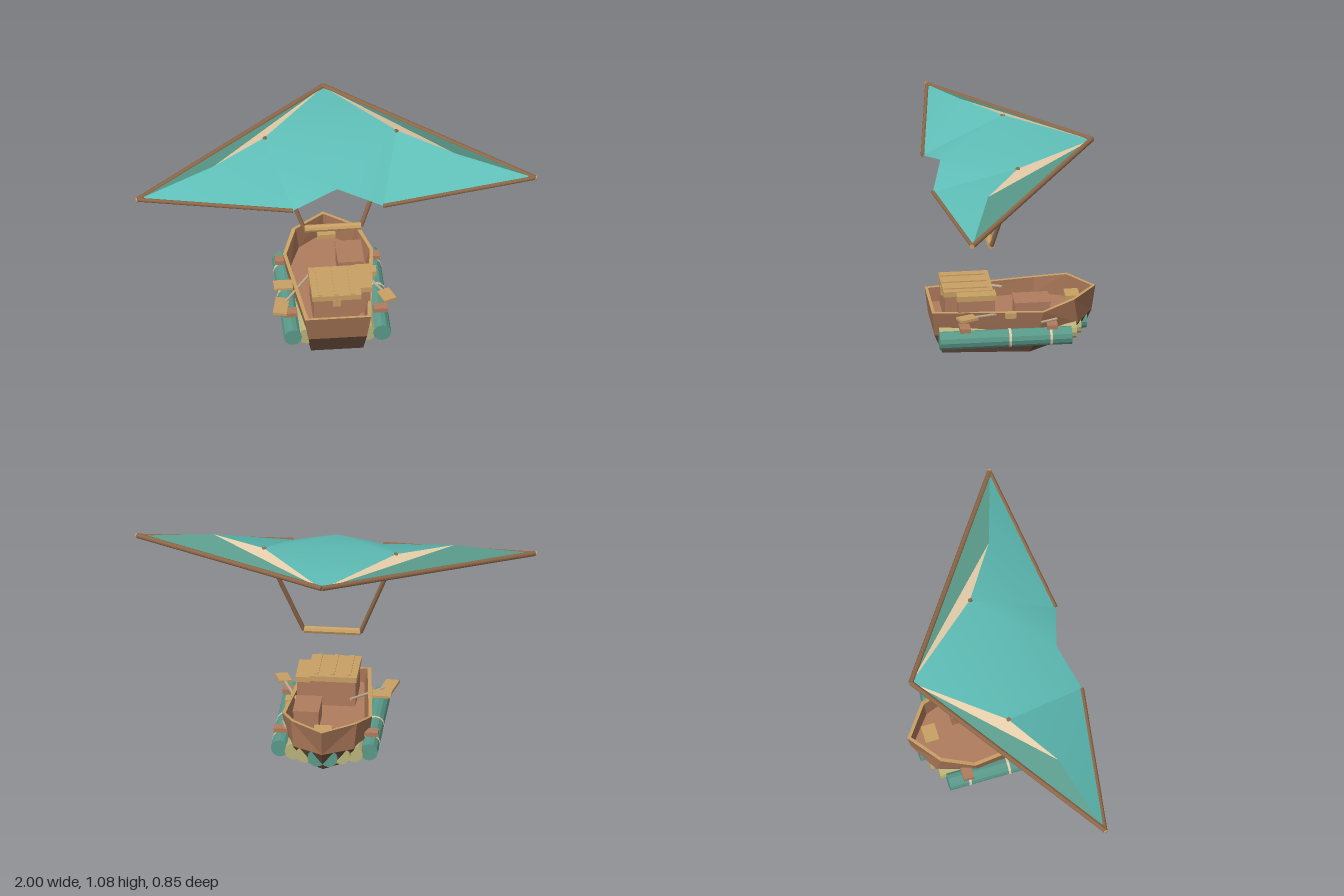
import * as THREE from 'three';
import { mergeVertices } from 'three/addons/utils/BufferGeometryUtils.js';

const mat = (name, color, flatShading = true) => {
  const m = new THREE.MeshStandardMaterial({ color, side: THREE.DoubleSide, flatShading });
  m.name = name;
  return m;
};
const V = (a) => new THREE.Vector3(...a);

export function createModel() {
  const root = new THREE.Group();
  const sail = mat('sail teal', 0x5fbfb8, false), cream = mat('cream', 0xe4cda9);
  const frame = mat('frame brown', 0x906849, false), hullMat = mat('hull brown', 0xa07053);
  const darkHull = mat('lower hull brown', 0x5e4436);
  const crateMat = mat('crate brown', 0xb07c5e), tan = mat('tan wood', 0xc89f64);
  const float = mat('float teal', 0x5a9a8a), olive = mat('olive', 0xbab47a);
  const pale = mat('pale wood', 0xbcab8c);

  const add = (name, geo, m) => {
    const mesh = new THREE.Mesh(geo, m);
    mesh.name = name;
    root.add(mesh);
    return mesh;
  };
  const box = (name, x0, x1, y0, y1, z0, z1, m) => {
    const b = add(name, new THREE.BoxGeometry(x1 - x0, y1 - y0, z1 - z0), m);
    b.position.set((x0 + x1) / 2, (y0 + y1) / 2, (z0 + z1) / 2);
    return b;
  };
  // round bar between two points
  const bar = (name, a, b, r, m, sides = 8) => {
    const p = V(a), d = V(b).sub(p);
    const mesh = add(name, new THREE.CylinderGeometry(r, r, d.length(), sides), m);
    mesh.position.copy(p).addScaledVector(d, 0.5);
    mesh.quaternion.setFromUnitVectors(new THREE.Vector3(0, 1, 0), d.normalize());
    return mesh;
  };
  // faces from triangles of points, joined so smooth materials blend across them
  const faces = (name, tris, m) => {
    let g = new THREE.BufferGeometry();
    g.setAttribute('position', new THREE.Float32BufferAttribute(tris.flat(2), 3));
    g = mergeVertices(g);
    g.computeVertexNormals();
    return add(name, g, m);
  };
  const quad = (a, b, c, d) => [[a, b, c], [a, c, d]];
  const flip = ([x, y, z]) => [-x, y, z];
  // the mirrored copy has its winding reversed
  const mirror = (tris) => tris.map(([a, b, c]) => [flip(a), flip(c), flip(b)]);
  const both = (tris) => [...tris, ...mirror(tris)];

  // ---- Glider wing ----
  const apex = [0, 1.06, -0.405], tip = [0.99, 0.957, 0.303], inner = [0.225, 0.918, 0.413];
  const notch = [0, 0.99, 0.35], ridge = [0.33, 1.07, 0], mid = [0.6, 1.045, 0.18];
  faces('sailCentre', [
    [apex, flip(ridge), ridge], [flip(ridge), notch, ridge], ...both([[ridge, notch, inner]]),
  ], sail);
  const frontPanel = [[ridge, inner, mid], [mid, inner, tip]];
  faces('sailFrontPanelLeft', frontPanel, sail);
  faces('sailFrontPanelRight', mirror(frontPanel), sail);
  faces('sailOuterPanels', both([[apex, mid, tip]]), float);
  faces('sailStripes', both([[apex, ridge, mid]]), cream);

  for (const s of [1, -1]) {
    const m = ([x, y, z]) => [x * s, y, z];
    bar('leadingEdge', [0, 1.064, -0.407], m(tip), 0.013, frame);
    bar('trailingEdge', m(tip), m(inner), 0.01, frame);
    bar('tipCap', m([0.994, 0.957, 0.305]), m([1, 0.957, 0.306]), 0.012, tan);
    bar('controlStrut', m([0.33, 1.072, 0]), m([0.142, 0.575, 0.11]), 0.011, frame);
  }
  bar('controlGrip', [-0.14, 0.575, 0.112], [0.14, 0.575, 0.112], 0.019, tan);

  // ---- Hull: rails from transom to pointed stern ----
  const top = [[0.165, 0.23, 0.41], [0.225, 0.235, -0.14], [0.165, 0.27, -0.3], [0, 0.27, -0.425]];
  const waist = [[0.145, 0.1, 0.395], [0.205, 0.11, -0.12], [0.152, 0.14, -0.32], [0, 0.14, -0.405]];
  const keel = [[0.13, 0, 0.355], [0.165, 0, -0.08], [0.12, 0.04, -0.26], [0, 0.04, -0.36]];
  // hollow underside that lets the raft tubes show
  const belly = [[0.1, 0.04, 0.3], [0.145, 0.075, -0.08], [0.11, 0.1, -0.25], [0, 0.1, -0.35]];
  const centre = belly.map(([, y, z]) => [0, y, z]);
  const inset = top.map(([x, y, z], i) => [Math.max(0, x - 0.018), y, z + [-0.015, 0, 0.006, 0.02][i]]);
  const deckEdge = inset.map(([x, , z]) => [x * 0.9, 0.16, z * 0.97]);
  const strip = (a, b) => a.slice(0, -1).flatMap((p, i) => quad(p, b[i], b[i + 1], a[i + 1]));
  const end = (a, b) => quad(a, flip(a), flip(b), b);
  faces('hull', [...both(strip(top, waist)), ...end(top[0], waist[0])], hullMat);
  faces('lowerHull', [
    ...both([...strip(waist, keel), ...strip(keel, belly), ...strip(belly, centre)]),
    ...end(waist[0], keel[0]), ...end(keel[0], belly[0]),
  ], darkHull);
  faces('hullLining', [...both(strip(deckEdge, inset)), ...end(deckEdge[0], inset[0])], hullMat);
  faces('hullRim', [...both(strip(inset, top)), ...end(inset[0], top[0])], tan);
  faces('deck', both(strip(deckEdge.map(([, y, z]) => [0, y, z]), deckEdge)), crateMat);

  // ---- Raft tubes under the hull, stepped to follow the stern ----
  for (const s of [1, -1]) {
    const tubes = [[0.222, -0.28, 0.38, float], [0.15, -0.31, 0.375, olive],
      [0.09, -0.34, 0.3, olive], [0.03, -0.375, 0.3, float]];
    for (const [x, z0, z1, m] of tubes)
      bar('raftTube', [s * x, 0.105, z0], [s * x, 0.105, z1], 0.045, m, 12);
    for (const z of [0.028, -0.176])
      bar('floatStrap', [s * 0.222, 0.105, z - 0.006], [s * 0.222, 0.105, z + 0.006], 0.0475, cream, 12);
    for (const z of [0.253, -0.182])
      box('cleat', s * 0.225 - 0.035, s * 0.225 + 0.035, 0.155, 0.178, z - 0.026, z + 0.026, crateMat);
  }

  // ---- Cargo crates ----
  box('largeCrate', -0.115, 0.115, 0.16, 0.298, 0.11, 0.34, crateMat);
  box('largeCrateLid', -0.123, 0.123, 0.295, 0.323, 0.1, 0.347, tan);
  for (const x of [-0.08, 0, 0.08])
    box('lidSlat', x - 0.01, x + 0.01, 0.318, 0.329, 0.12, 0.343, tan);
  box('crateLatch', -0.02, 0.02, 0.26, 0.3, 0.335, 0.35, tan);
  box('sideCrate', 0.115, 0.174, 0.16, 0.296, 0.097, 0.28, crateMat);
  box('sideCrateLid', 0.11, 0.182, 0.292, 0.32, 0.09, 0.287, tan);
  box('rearCrate', 0.04, 0.165, 0.16, 0.26, -0.18, -0.005, crateMat);
  box('rearCrateLid', 0.037, 0.168, 0.257, 0.266, -0.183, -0.002, crateMat);
  box('sternSeat', -0.04, 0.05, 0.215, 0.24, -0.34, -0.27, tan);
  box('rimBlock', 0.195, 0.225, 0.208, 0.237, -0.006, 0.05, tan);

  // ---- Paddles resting over the sides ----
  const bladeR = box('paddleBladeRight', 0.225, 0.29, 0.228, 0.241, 0.2, 0.29, tan);
  bladeR.rotation.set(0, 0.35, 0.06);
  bar('paddleShaftRight', [0.25, 0.235, 0.22], [0.16, 0.215, 0.02], 0.007, pale);
  const bladeL = box('paddleBladeLeft', -0.305, -0.235, 0.202, 0.215, 0.19, 0.32, tan);
  bladeL.rotation.set(0, -0.2, -0.08);
  bar('paddleShaftLeft', [-0.25, 0.212, 0.23], [-0.1, 0.24, 0.03], 0.007, pale);
  box('paddleRestLeft', -0.295, -0.2, 0.228, 0.24, 0.08, 0.15, tan);
  bar('looseStick', [0.2, 0.187, -0.21], [0.22, 0.18, -0.13], 0.006, pale);

  return root;
}
